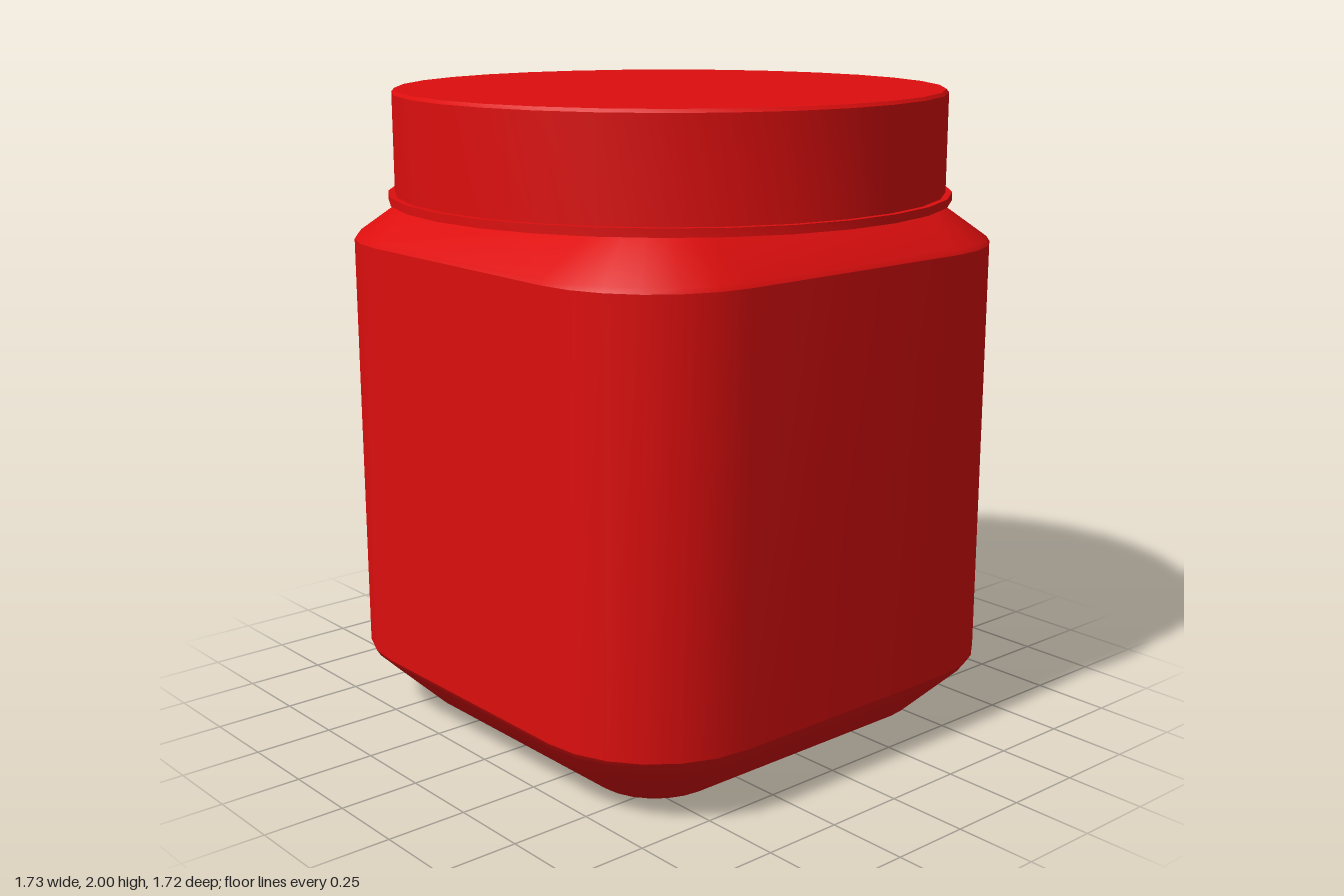
import * as THREE from 'three';
import { toCreasedNormals } from 'three/addons/utils/BufferGeometryUtils.js';

const HALF = 0.815, CORNER = 0.4, STEPS = 6, CREASE = Math.PI / 7;

// Rounded-square outline, offset inwards by `inset`
function outline(inset) {
  const points = [], centre = HALF - CORNER, radius = CORNER - inset;
  for (let q = 0; q < 4; q++) {
    const mid = (q + 0.5) * Math.PI / 2;
    for (let s = 0; s <= STEPS; s++) {
      const a = (q + s / STEPS) * Math.PI / 2;
      points.push([
        Math.sign(Math.cos(mid)) * centre + radius * Math.cos(a),
        Math.sign(Math.sin(mid)) * centre + radius * Math.sin(a),
      ]);
    }
  }
  return points;
}

// Closed solid through stacked outlines, given as [height, inset] from the bottom up
function loft(sections) {
  const positions = [], index = [], n = 4 * (STEPS + 1);
  for (const [y, inset] of sections) {
    for (const [x, z] of outline(inset)) positions.push(x, y, z);
  }
  const last = sections.length - 1;
  positions.push(0, sections[0][0], 0, 0, sections[last][0], 0);
  const bottom = n * sections.length, top = bottom + 1;
  for (let j = 0; j < n; j++) {
    const k = (j + 1) % n;
    for (let i = 0; i < last; i++) {
      const a = i * n + j, b = i * n + k;
      index.push(a, a + n, b, b, a + n, b + n);
    }
    index.push(bottom, j, k, top, last * n + k, last * n + j);
  }
  const geometry = new THREE.BufferGeometry();
  geometry.setAttribute('position', new THREE.Float32BufferAttribute(positions, 3));
  geometry.setIndex(index);
  return toCreasedNormals(geometry, CREASE);
}

// 30-sided turned solid from [radius, height] pairs
function turned(profile) {
  const points = profile.map(([r, y]) => new THREE.Vector2(r, y));
  return toCreasedNormals(new THREE.LatheGeometry(points, 30, Math.PI / 2), CREASE);
}

export function createModel() {
  const group = new THREE.Group();
  const red = new THREE.MeshStandardMaterial({ color: 0xdd0e0e });
  const add = (name, geometry) => {
    const mesh = new THREE.Mesh(geometry, red);
    mesh.name = name;
    group.add(mesh);
  };

  // Square jar with chamfered base and sloping shoulder
  add('jarBody', loft([
    [0, 0.23], [0.012, 0.205], [0.195, 0.012], [0.215, 0],
    [1.535, 0], [1.55, 0.01], [1.67, 0.18],
  ]));

  // Round lid with a softened top rim
  add('lid', turned([[0, 1.68], [0.845, 1.68], [0.845, 1.99], [0.837, 2], [0, 2]]));

  // Thin flange around the lid's lower edge
  add('lidFlange', turned([[0, 1.665], [0.865, 1.665], [0.865, 1.69], [0.84, 1.69]]));

  return group;
}
